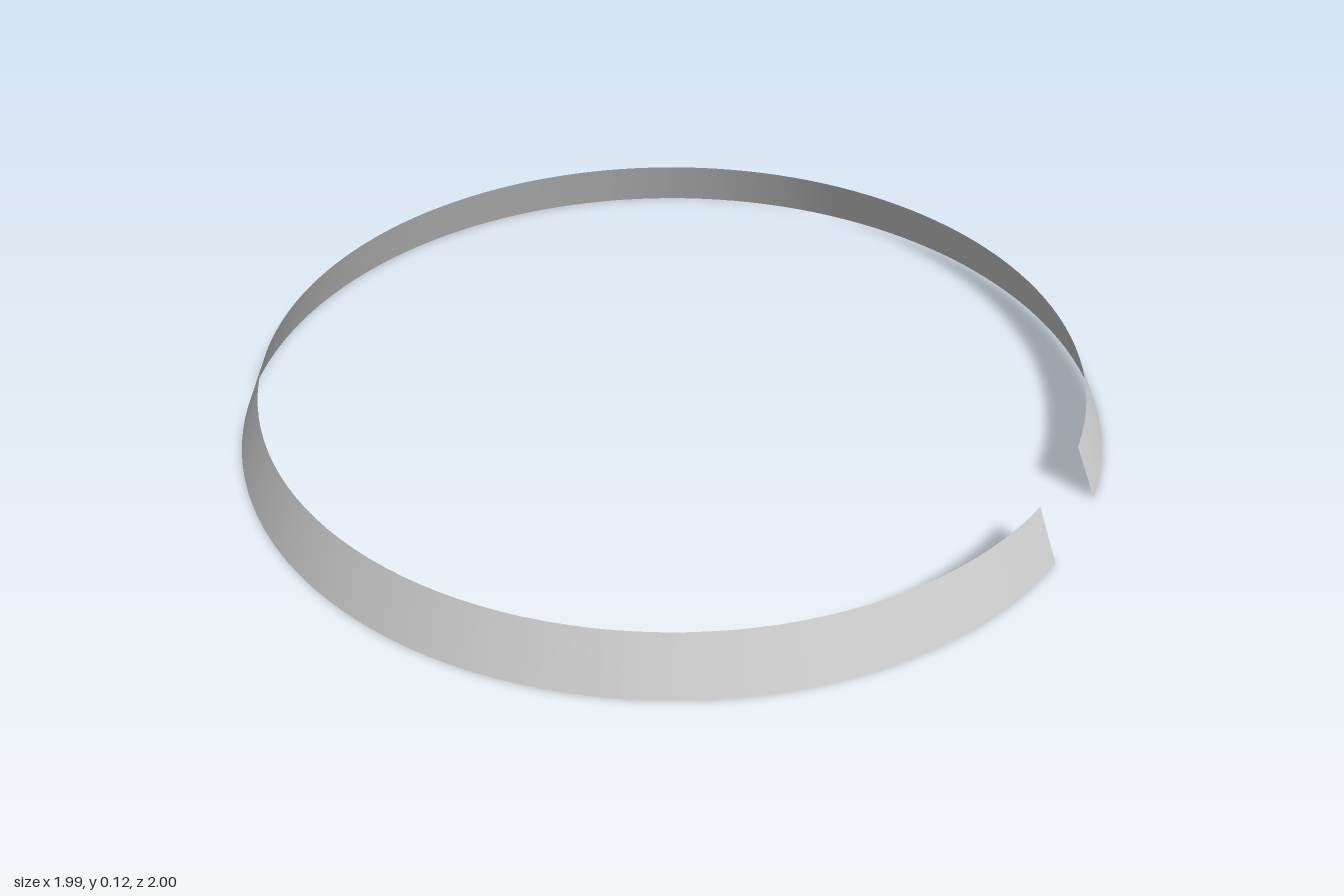
import * as THREE from 'three';

export function createModel() {
  const group = new THREE.Group();
  group.name = 'openCollar';

  // Thin tapered band, open on its left side (+x)
  const halfGap = THREE.MathUtils.degToRad(7.2);
  const height = 0.125;
  const geometry = new THREE.CylinderGeometry(
    0.948, 1, height, 128, 1, true,
    Math.PI / 2 + halfGap, 2 * Math.PI - 2 * halfGap
  );
  // Stand on the ground and centre the split ring
  geometry.translate((1 - Math.cos(halfGap)) / 2, height / 2, 0);

  const band = new THREE.Mesh(
    geometry,
    new THREE.MeshStandardMaterial({ color: 0xcccccc, side: THREE.DoubleSide })
  );
  band.name = 'band';
  group.add(band);
  return group;
}
